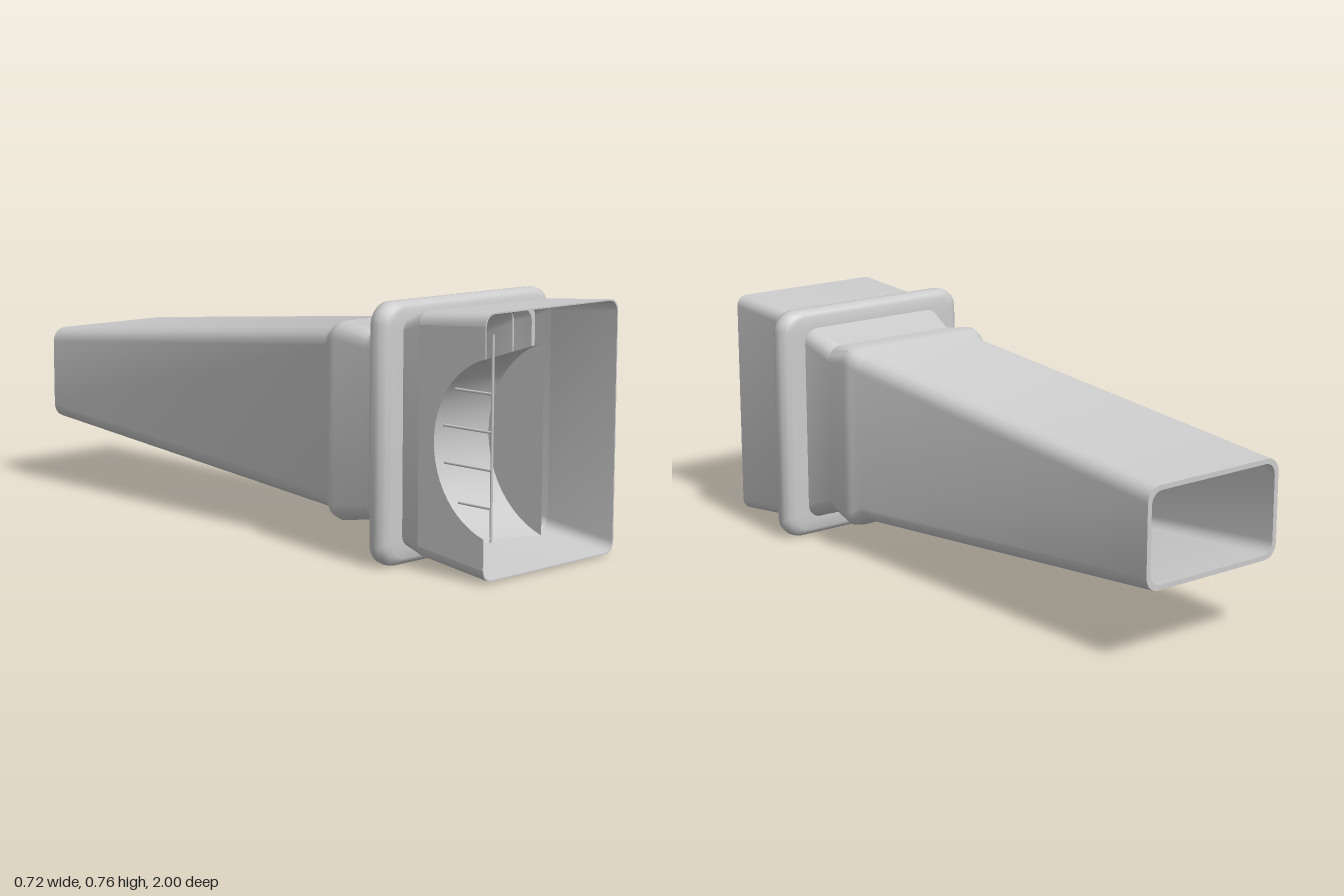
import * as THREE from 'three';
import { toCreasedNormals } from 'three/addons/utils/BufferGeometryUtils.js';

const material = new THREE.MeshStandardMaterial({ color: 0xcccccc, side: THREE.DoubleSide });

// Rounded rectangle loop; the gap between its last and first point is the -x side
function section(z, hx, y0, y1, r, bulge = 0) {
  const pts = [];
  const cy = (y0 + y1) / 2, hh = (y1 - y0) / 2, steps = 5;
  const corners = [[-1, -1], [1, -1], [1, 1], [-1, 1]];
  corners.forEach(([sx, sy], k) => {
    for (let i = 0; i <= steps; i++) {
      const a = Math.PI + (k + i / steps) * Math.PI / 2;
      const y = cy + sy * (hh - r) + r * Math.sin(a);
      const swell = sx * bulge * (1 - ((y - cy) / hh) ** 2);
      pts.push(new THREE.Vector3(sx * (hx - r) + r * Math.cos(a) + swell, y, z));
    }
  });
  return pts;
}

// Skin through a list of equal-length point loops
function loft(loops, closed = true, crease = 0.6) {
  const n = loops[0].length, index = [];
  for (let j = 0; j < loops.length - 1; j++) {
    for (let i = 0; i < (closed ? n : n - 1); i++) {
      const k = (i + 1) % n;
      const a = j * n + i, b = j * n + k, c = b + n, d = a + n;
      index.push(a, b, d, b, c, d);
    }
  }
  const g = new THREE.BufferGeometry().setFromPoints(loops.flat());
  g.setIndex(index);
  return toCreasedNormals(g, crease);
}

// Outer skin, rim and inner skin in one run; each row is [z, hx, y0, y1, r, wall]
function shell(rows, closed) {
  const outer = rows.map(([z, hx, y0, y1, r]) => section(z, hx, y0, y1, r));
  const inner = rows.map(([z, hx, y0, y1, r, t]) => section(z, hx - t, y0 + t, y1 - t, r - t / 2));
  const loops = [...outer, ...inner.reverse()];
  if (closed) loops.push(outer[0]);
  return loft(loops, closed);
}

// Circular arc opening to the front, as [z, y] pairs from bottom to top
const MID = 0.38;
function arc(half, depth, steps = 24) {
  const R = (half * half + depth * depth) / (2 * depth);
  const span = Math.asin(half / R);
  return Array.from({ length: steps + 1 }, (_, i) => {
    const a = span * (2 * i / steps - 1);
    return [1 - depth + R - R * Math.cos(a), MID + R * Math.sin(a)];
  });
}

export function createModel() {
  const group = new THREE.Group();
  const add = (name, geometry) => {
    const mesh = new THREE.Mesh(geometry, material);
    mesh.name = name;
    group.add(mesh);
    return mesh;
  };

  // Tapering duct with its stepped neck
  const join = [0.75, 0.283, 0.035, 0.738, 0.035, 0.004];
  add('taperedDuct', shell([
    [-1, 0.256, 0.23, 0.535, 0.045, 0.015],
    [0.34, 0.258, 0.11, 0.655, 0.05, 0.008],
    [0.37, 0.272, 0.09, 0.672, 0.05, 0.006],
    [0.4, 0.276, 0.083, 0.68, 0.05, 0.006],
    [0.51, 0.257, 0.1, 0.66, 0.05, 0.004],
    [0.62, 0.276, 0.06, 0.705, 0.045, 0.004],
    [0.69, 0.283, 0.055, 0.715, 0.035, 0.004],
    join,
  ], true));

  // Mouth: three sides, then the cut side wall
  add('mouth', shell([join, [1, 0.283, 0.005, 0.755, 0.035, 0.004]], false));

  const wall = new THREE.Shape();
  wall.moveTo(0.75, 0.07);
  wall.lineTo(1, 0.04);
  arc(0.25, 0.19).forEach(([z, y]) => wall.lineTo(z, y));
  wall.lineTo(1, 0.72);
  wall.lineTo(0.75, 0.703);
  const wallGeometry = new THREE.ExtrudeGeometry(wall, { depth: 0.004, bevelEnabled: false });
  wallGeometry.rotateY(-Math.PI / 2); // shape x becomes z, depth becomes -x
  add('cutSideWall', wallGeometry).position.x = -0.279;

  // Curved recess behind the cut, closed at its inner end
  const arcAt = (x, half, depth) => arc(half, depth).map(([z, y]) => new THREE.Vector3(x, y, z));
  add('recess', loft([arcAt(-0.282, 0.25, 0.19), arcAt(-0.04, 0.275, 0.205)], false));

  const cap = new THREE.Shape(arc(0.275, 0.205).map(([z, y]) => new THREE.Vector2(z, y)));
  const capGeometry = new THREE.ShapeGeometry(cap);
  capGeometry.rotateY(-Math.PI / 2);
  add('recessEnd', capGeometry).position.x = -0.04;

  // Collar: rounded band with gently bowed sides; rows are [z, inset]
  const band = [[0.612, 0.06], [0.612, 0.022], [0.618, 0.011], [0.632, 0.002], [0.65, 0],
    [0.668, 0.002], [0.682, 0.011], [0.688, 0.022], [0.688, 0.06]];
  add('collar', loft(band.map(([z, d]) =>
    section(z, 0.356 - d * 1.6, d, 0.763 - d, 0.06 - d * 0.4, 0.02)), true, 0.8));

  // Thin upright with prongs running back into the recess
  const rodX = -0.247;
  const upright = add('guardUpright', new THREE.CylinderGeometry(0.004, 0.004, 0.58, 8));
  upright.position.set(rodX, 0.405, 0.996);
  for (const y of [0.21, 0.317, 0.423, 0.53]) {
    const R = (0.25 ** 2 + 0.19 ** 2) / 0.38;
    const back = 0.81 + R - Math.sqrt(R * R - (y - MID) ** 2);
    const prong = add('guardProng', new THREE.CylinderGeometry(0.004, 0.004, 0.996 - back, 8));
    prong.rotation.x = Math.PI / 2;
    prong.position.set(rodX, y, (0.996 + back) / 2);
  }

  return group;
}
